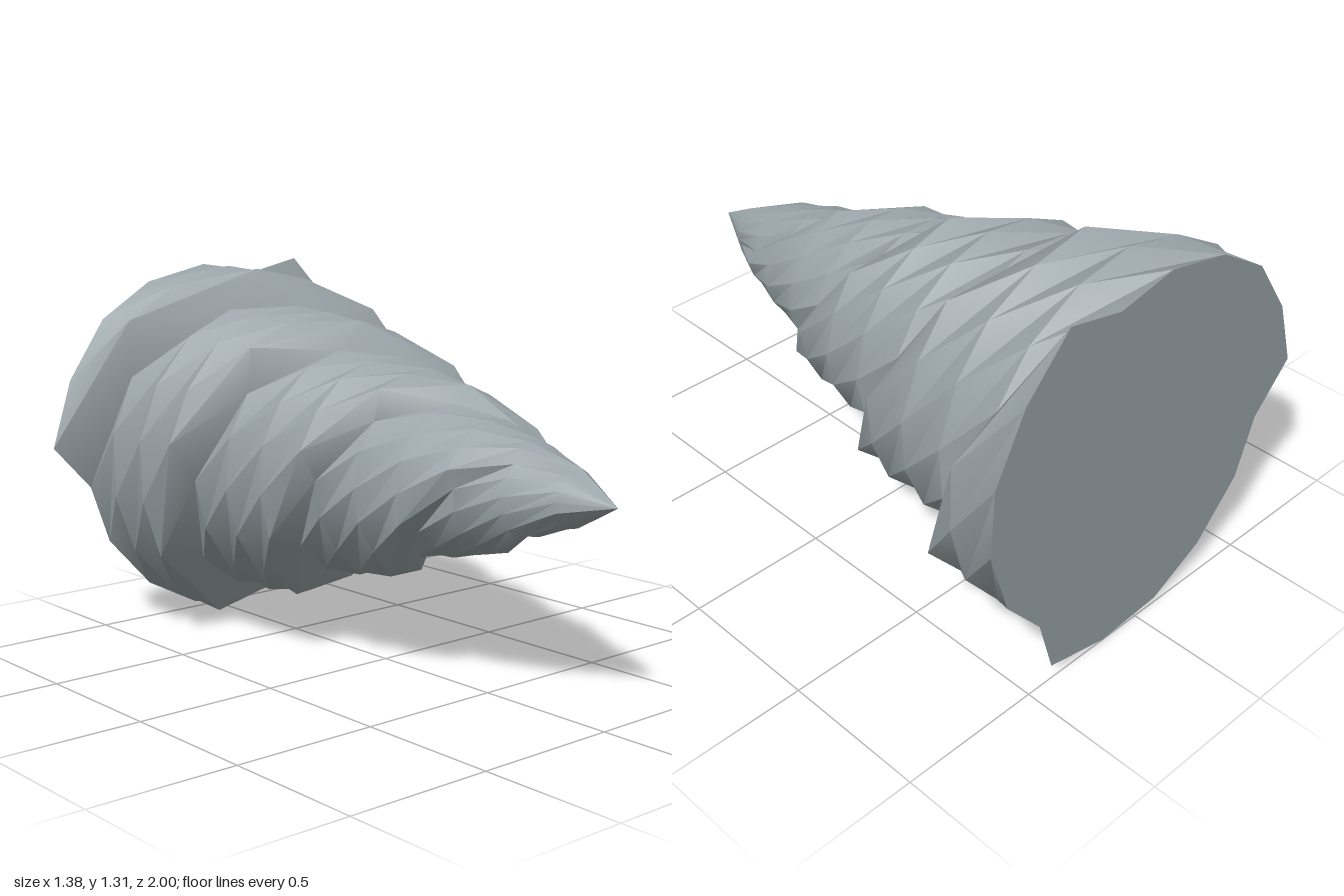
import * as THREE from 'three';
import { toCreasedNormals } from 'three/addons/utils/BufferGeometryUtils.js';

const CX = 0.037, CY = 0.69;          // drill axis
const RINGS = 12, TWIST = 42, TAPER = 0.81;
// one ratchet lobe, from its tip clockwise: [angle offset in degrees, radius]
const LOBE = [[0, 0.727], [20, 0.693], [41.3, 0.677], [61.5, 0.65], [84, 0.628], [104.7, 0.602]];
const SIDES = LOBE.length * 3;

// corner i of ring k; each ring is smaller and turned clockwise
function corner(k, i) {
  i %= SIDES;
  const [offset, radius] = LOBE[i % LOBE.length];
  const lobe = Math.floor(i / LOBE.length);
  const angle = THREE.MathUtils.degToRad(180 - lobe * 120 - offset - k * TWIST);
  const r = radius * Math.pow(1 - k / RINGS, TAPER);
  return [CX + r * Math.cos(angle), CY + r * Math.sin(angle), -1 + (2 * k) / RINGS];
}

function toGeometry(points) {
  const g = new THREE.BufferGeometry();
  g.setAttribute('position', new THREE.Float32BufferAttribute(points.flat(), 3));
  g.computeVertexNormals();
  return g;
}

export function createModel() {
  const group = new THREE.Group();
  group.name = 'spiralDrill';
  const steel = new THREE.MeshStandardMaterial({ color: 0x9aa4a8 });
  steel.name = 'steel grey';

  // twisted, tapering flutes
  const walls = [];
  for (let k = 0; k < RINGS; k++) {
    for (let i = 0; i < SIDES; i++) {
      const a = corner(k, i), b = corner(k, i + 1);
      const c = corner(k + 1, i), d = corner(k + 1, i + 1);
      walls.push(a, c, b);
      if (k < RINGS - 1) walls.push(c, d, b);
    }
  }
  const flutes = new THREE.Mesh(toCreasedNormals(toGeometry(walls), 0.55), steel);
  flutes.name = 'spiralFlutes';
  group.add(flutes);

  // flat back face
  const back = [];
  for (let i = 0; i < SIDES; i++) back.push([CX, CY, -1], corner(0, i), corner(0, i + 1));
  const cap = new THREE.Mesh(toGeometry(back), steel);
  cap.name = 'backCap';
  group.add(cap);

  return group;
}
